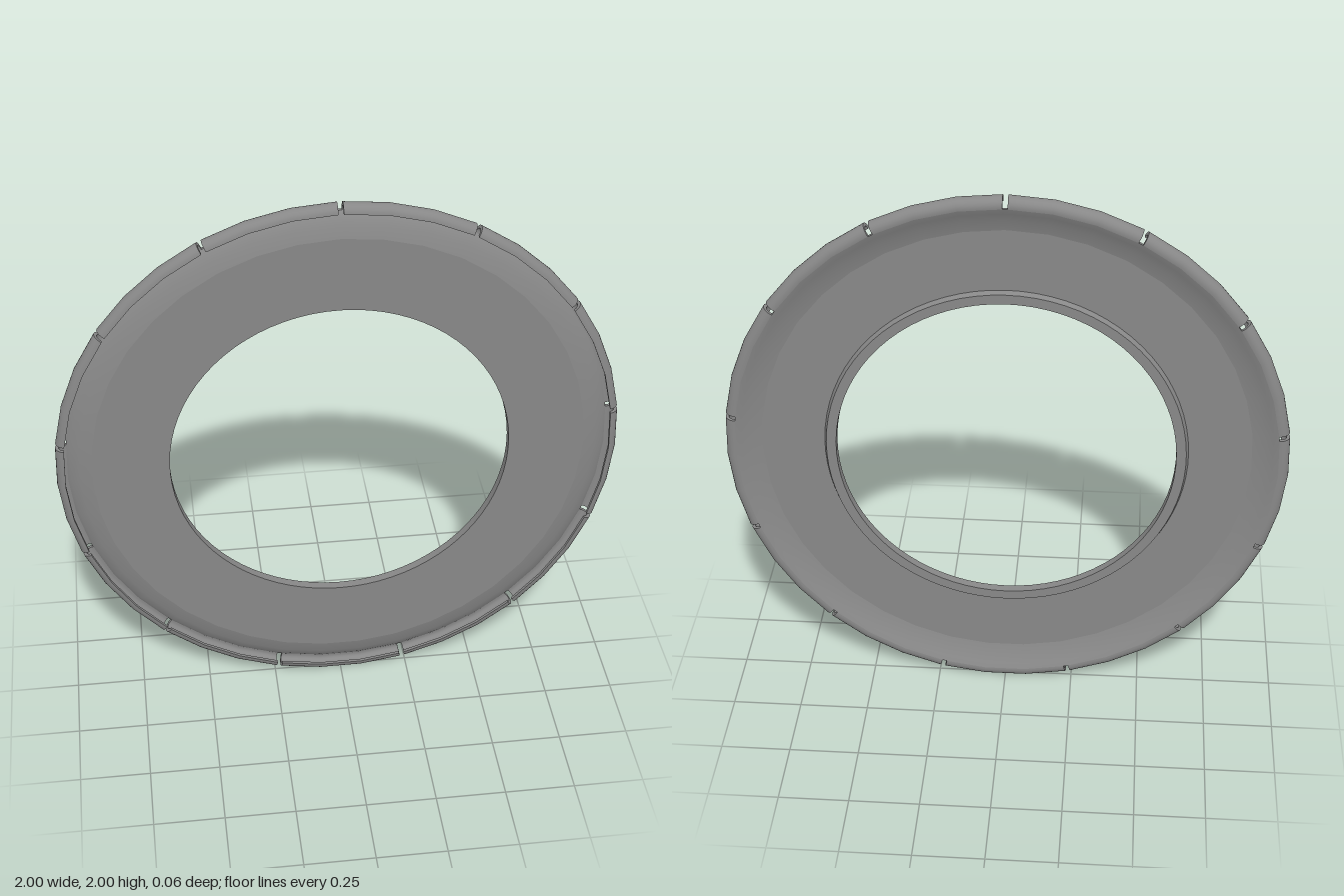
import * as THREE from 'three';
import { mergeGeometries } from 'three/addons/utils/BufferGeometryUtils.js';

const SLOTS = 13;
const STEP = (Math.PI * 2) / SLOTS;
const SLOT_WIDTH = 0.018;
const HALF = SLOT_WIDTH / 2 / 0.98; // half slot angle
const SLOT_R = 0.962;

// Revolves a (radius, z) profile about the z axis; angle 0 points down
function revolve(profile, segments, start = 0, length = Math.PI * 2) {
  const pts = profile.map(([r, z]) => new THREE.Vector2(r, z));
  return new THREE.LatheGeometry(pts, segments, start, length).rotateX(Math.PI / 2);
}

// Points of an arc about the centre of the rolled rim
function arc(radius, from, to, n) {
  return Array.from({ length: n + 1 }, (_, i) => {
    const a = from + ((to - from) * i) / n;
    return [0.97 + radius * Math.cos(a), radius * Math.sin(a)];
  });
}

export function createModel() {
  const group = new THREE.Group();
  const steel = new THREE.MeshStandardMaterial({ color: 0x888888, side: THREE.DoubleSide });
  steel.name = 'grey steel';
  const add = (name, parts) => {
    const mesh = new THREE.Mesh(mergeGeometries(parts), steel);
    mesh.name = name;
    mesh.position.y = 1;
    group.add(mesh);
  };

  // Hole collar: front face, bore, raised back face and its outer step
  add('boreCollar', [
    [[0.72, 0.02], [0.603, 0.02]],
    [[0.603, 0.02], [0.603, -0.014]],
    [[0.603, -0.014], [0.638, -0.014]],
    [[0.638, -0.014], [0.646, 0.006]],
    [[0.646, 0.006], [0.72, 0.006]],
  ].map((p) => revolve(p, 78)));

  // Dished plate, in sectors that line up with the slots
  const plate = [
    [[0.875, 0.02], [0.715, 0.02]],
    [[SLOT_R, -0.017], [0.95, -0.007], [0.92, 0.009], [0.875, 0.02]],
    [[0.715, 0.006], [0.87, 0.006]],
    [[0.87, 0.006], [0.912, -0.005], [0.942, -0.021], [SLOT_R, -0.029]],
  ];
  const slotFloor = [[SLOT_R, -0.029], [SLOT_R, -0.017]];

  // Rolled rim section: outer curl, cut edge, inner curl
  const outer = [[SLOT_R, -0.029], ...arc(0.03, -Math.PI / 2, Math.PI / 2, 10)];
  const inner = [...arc(0.018, Math.PI / 2, -Math.PI / 2, 8), [SLOT_R, -0.017]];
  const lipEdge = [[0.97, 0.03], [0.97, 0.018]];
  const section = new THREE.Shape([...outer, ...inner].map(([r, z]) => new THREE.Vector2(r, z)));

  const plateParts = [];
  const rimParts = [];
  for (let i = 0; i < SLOTS; i++) {
    const slot = Math.PI + i * STEP;
    const start = slot + HALF;
    const length = STEP - 2 * HALF;
    for (const p of plate) {
      plateParts.push(revolve(p, 3, start, length));
      plateParts.push(revolve(p, 1, slot - HALF, 2 * HALF));
    }
    plateParts.push(revolve(slotFloor, 1, slot - HALF, 2 * HALF));
    for (const p of [outer, lipEdge, inner]) rimParts.push(revolve(p, 3, start, length));
    // End walls of each rim length
    for (const a of [start, start + length]) {
      rimParts.push(new THREE.ShapeGeometry(section).rotateX(Math.PI / 2).rotateZ(a - Math.PI / 2));
    }
  }
  add('dishedPlate', plateParts);
  add('slottedRim', rimParts);
  return group;
}
